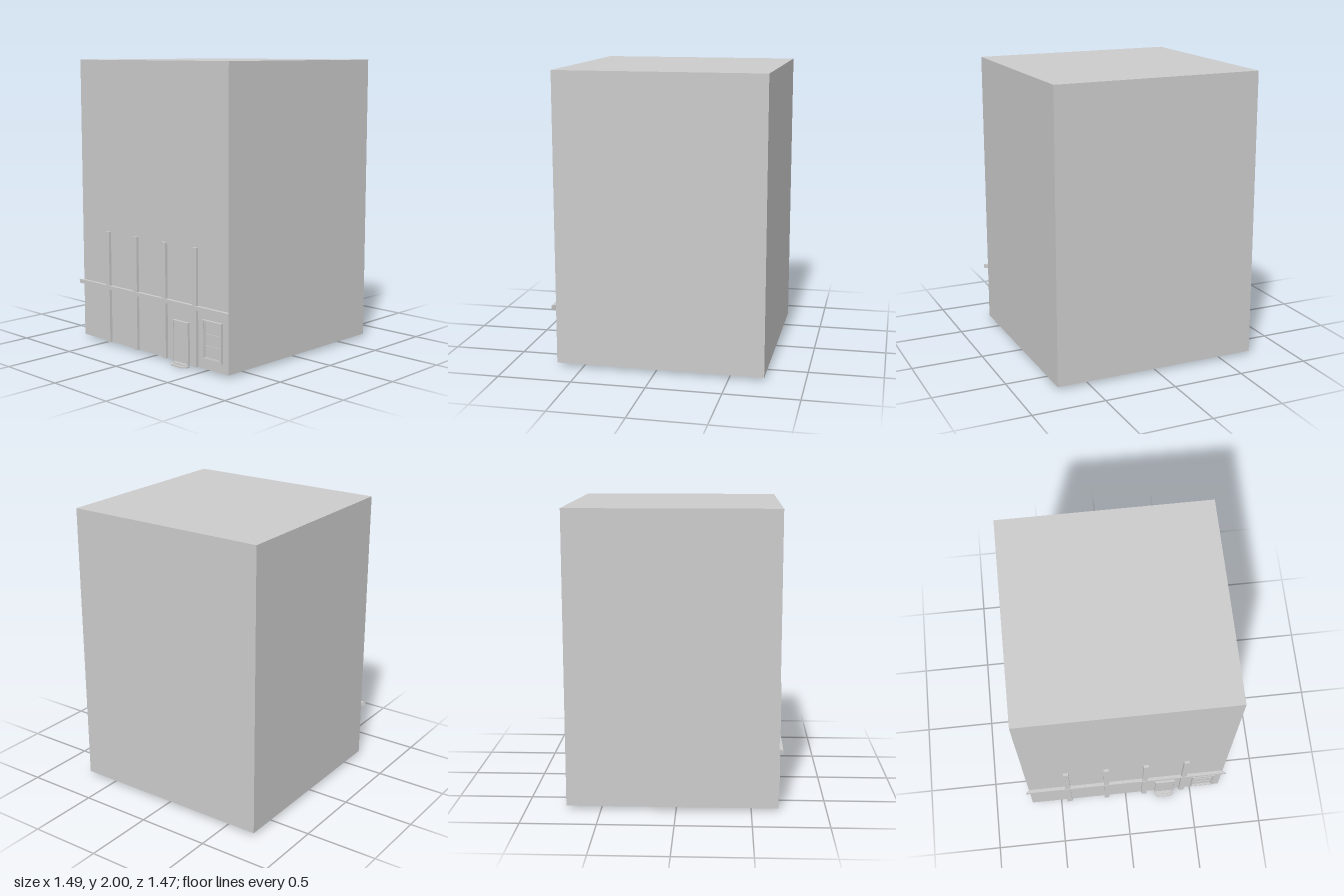
import * as THREE from 'three';

const material = new THREE.MeshStandardMaterial({ color: 0xcccccc, flatShading: true });
const WALL = 0.68; // z of the facade

export function createModel() {
  const model = new THREE.Group();

  const add = (parent, name, geometry) => {
    const mesh = new THREE.Mesh(geometry, material);
    mesh.name = name;
    parent.add(mesh);
    return mesh;
  };
  // Box given by its lower and upper limits
  const box = (parent, name, x0, x1, y0, y1, z0, z1) =>
    add(parent, name, new THREE.BoxGeometry(x1 - x0, y1 - y0, z1 - z0))
      .position.set((x0 + x1) / 2, (y0 + y1) / 2, (z0 + z1) / 2);
  // Horizontal slab from a plan outline of [x, z] points
  const slab = (parent, name, plan, y0, y1) => {
    const shape = new THREE.Shape(plan.map(([x, z]) => new THREE.Vector2(x, -z)));
    const geometry = new THREE.ExtrudeGeometry(shape, { depth: y1 - y0, bevelEnabled: false });
    add(parent, name, geometry.rotateX(-Math.PI / 2).translate(0, y0, 0));
  };
  // Rectangular frame standing out from the facade
  const frame = (parent, name, x0, x1, y0, y1, t, depth) => {
    const rect = (C, d) => new C([[x0 + d, y0 + d], [x1 - d, y0 + d], [x1 - d, y1 - d], [x0 + d, y1 - d]]
      .map(([x, y]) => new THREE.Vector2(x, y)));
    const shape = rect(THREE.Shape, 0);
    shape.holes.push(rect(THREE.Path, t));
    add(parent, name, new THREE.ExtrudeGeometry(shape, { depth, bevelEnabled: false }).translate(0, 0, WALL));
  };

  // Main block
  box(model, 'buildingBody', -0.722, 0.722, 0.022, 2, -0.733, WALL);

  // Pilasters
  for (const x of [-0.435, -0.146, 0.141, 0.431])
    box(model, 'pilaster', x - 0.019, x + 0.019, 0.022, 0.81, WALL, 0.7);

  // Ledge with mitred ends
  slab(model, 'ledge', [[-0.722, WALL], [-0.746, 0.704], [0.746, 0.704], [0.722, WALL]], 0.402, 0.43);

  // Door with a slim frame and a chamfered two-layer step
  const door = new THREE.Group();
  door.name = 'door';
  model.add(door);
  frame(door, 'doorFrame', 0.225, 0.37, 0.015, 0.302, 0.007, 0.018);
  box(door, 'doorPanel', 0.232, 0.363, 0.02, 0.296, WALL, 0.692);
  const step = (w, z) => [[0.297 - w, WALL], [0.297 - w, z - 0.02], [0.297 - w + 0.025, z],
    [0.297 + w - 0.025, z], [0.297 + w, z - 0.02], [0.297 + w, WALL]];
  slab(door, 'lowerStep', step(0.075, 0.733), 0, 0.01);
  slab(door, 'upperStep', step(0.068, 0.715), 0.01, 0.02);

  // Window: nested frames, glass and glazing bars
  const win = new THREE.Group();
  win.name = 'window';
  model.add(win);
  frame(win, 'windowOuterFrame', 0.502, 0.672, 0.087, 0.35, 0.011, 0.017);
  frame(win, 'windowInnerFrame', 0.512, 0.662, 0.097, 0.34, 0.006, 0.011);
  box(win, 'windowGlass', 0.517, 0.657, 0.102, 0.335, WALL, 0.683);
  for (const y of [0.18, 0.258])
    box(win, 'glazingBar', 0.517, 0.657, y - 0.002, y + 0.002, WALL, 0.687);

  return model;
}
